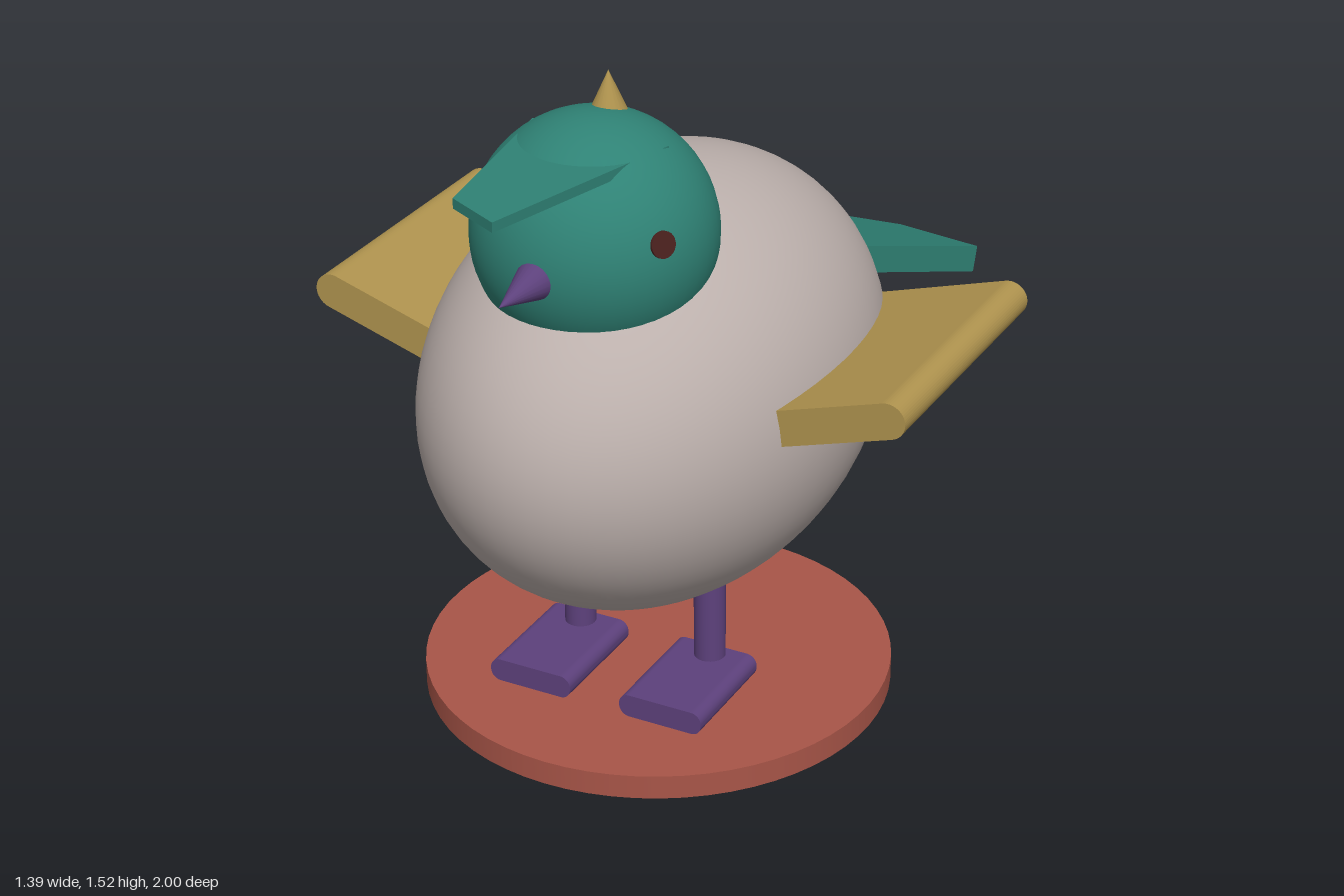
import * as THREE from 'three';

const material = (name, color) => {
  const m = new THREE.MeshStandardMaterial({ color });
  m.name = name;
  return m;
};

export function createModel() {
  const bird = new THREE.Group();
  bird.name = 'bird';

  const grey = material('warm grey', 0xbcb0ac);
  const teal = material('teal', 0x2f8275);
  const gold = material('gold', 0xaf934e);
  const purple = material('purple', 0x5d417c);
  const red = material('brick red', 0xa85548);
  const brown = material('dark brown', 0x4a211e);

  const add = (name, geometry, mat, x = 0, y = 0, z = 0) => {
    const mesh = new THREE.Mesh(geometry, mat);
    mesh.name = name;
    mesh.position.set(x, y, z);
    bird.add(mesh);
    return mesh;
  };
  const extrude = (shape, depth) =>
    new THREE.ExtrudeGeometry(shape, { depth, bevelEnabled: false, curveSegments: 12 });
  const polygon = (points) => new THREE.Shape(points.map(([x, y]) => new THREE.Vector2(x, y)));

  // Round base
  add('base', new THREE.CylinderGeometry(0.52, 0.52, 0.055, 64), red, 0, 0.0275, 0.287);

  // Egg-shaped body and round head
  add('body', new THREE.SphereGeometry(1, 64, 40), grey, 0, 0.752, 0.287).scale.set(0.46, 0.479, 0.642);
  const headCentre = new THREE.Vector3(0, 1.19, 0.546);
  const headRadius = 0.257;
  add('head', new THREE.SphereGeometry(headRadius, 48, 32), teal, ...headCentre.toArray());

  // Beak and crest
  add('beak', new THREE.ConeGeometry(0.048, 0.16, 20), purple, 0, 1.18, 0.853).rotation.x = Math.PI / 2;
  add('crest', new THREE.ConeGeometry(0.043, 0.096, 20), gold, 0, 1.468, 0.48);

  // Lopsided cap brim, drawn in x and z
  const brim = polygon([[-0.155, 0.52], [0.158, 0.52], [0.03, 0.998], [-0.095, 0.935]]);
  add('brim', extrude(brim, 0.022), teal, 0, 1.396, 0).rotation.x = Math.PI / 2;

  // Pentagonal tail sloping down to the back
  const tail = polygon([[-0.16, 0], [0.16, 0], [0.255, 0.475], [0, 0.601], [-0.255, 0.475]]);
  add('tail', extrude(tail, 0.062), teal, 0, 0.72, -0.412).rotation.x = -Math.PI / 2 - 0.355;

  // Wing profile: flat slab with a rounded outer edge at the origin
  const wing = new THREE.Shape();
  wing.moveTo(-0.42, -0.04);
  wing.lineTo(0, -0.04);
  wing.absarc(0, 0, 0.04, -Math.PI / 2, Math.PI / 2, false);
  wing.lineTo(-0.42, 0.04);
  wing.closePath();

  // Foot profile: rounded rectangle seen from the front
  const foot = new THREE.Shape();
  const w = 0.099, h = 0.0265, r = 0.024;
  foot.absarc(w - r, h - r, r, 0, Math.PI / 2, false);
  foot.absarc(-w + r, h - r, r, Math.PI / 2, Math.PI, false);
  foot.absarc(-w + r, -h + r, r, Math.PI, Math.PI * 1.5, false);
  foot.absarc(w - r, -h + r, r, Math.PI * 1.5, Math.PI * 2, false);
  foot.closePath();

  // Paired parts
  for (const [side, s] of [['left', 1], ['right', -1]]) {
    // The half turn about y swaps the ends, so the far side starts at the front
    const wingMesh = add(`${side}Wing`, extrude(wing, 0.635), gold, s * 0.655, 0.901, s > 0 ? -0.098 : 0.537);
    wingMesh.rotation.set(0, s > 0 ? 0 : Math.PI, 0.302);

    add(`${side}Leg`, new THREE.CylinderGeometry(0.035, 0.035, 0.34, 24), purple, s * 0.162, 0.27, 0.352);
    add(`${side}Foot`, extrude(foot, 0.268), purple, s * 0.16, 0.0915, 0.316);

    // Flat eye disc lying on the head
    const normal = new THREE.Vector3(s * 0.222, 0.062, 0.12).normalize();
    const at = normal.clone().multiplyScalar(headRadius).add(headCentre);
    const eye = add(`${side}Eye`, new THREE.CylinderGeometry(0.028, 0.028, 0.008, 24), brown, ...at.toArray());
    eye.quaternion.setFromUnitVectors(new THREE.Vector3(0, 1, 0), normal);
  }
  return bird;
}
